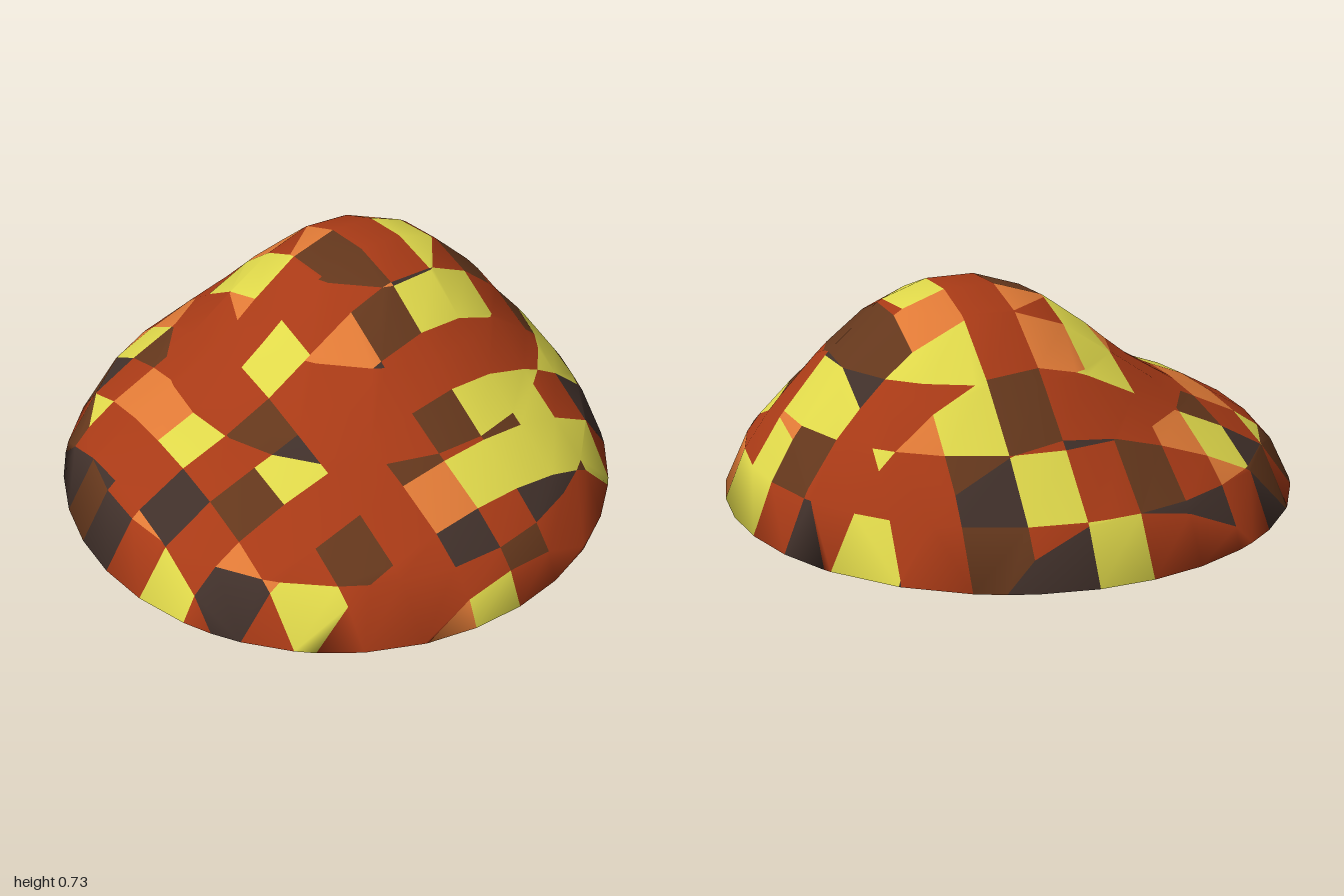
import * as THREE from 'three';

const CELL = 0.1685, N = 13, LAYERS = 5;
const X0 = -1.021, Z0 = -1.08;

const COLORS = { R: 0xa83a16, Y: 0xdfd84a, O: 0xe07a36, B: 0x64371c, K: 0x40302a };
const NAMES = { R: 'redLeaves', Y: 'yellowLeaves', O: 'orangeLeaves', B: 'brownLeaves', K: 'darkLeaves' };

// Leaf colour of each column of cells, back row first
const PATCHES = [
  '....RRYKKR..',
  '..KRRBRYKRK.',
  '..BYORRBYRY.',
  'KBRBRYORYRRK',
  'KRORRYOROBYR',
  'BRORRRBRYBYY',
  'KRYRYRBRYBRR',
  'RKRBROBYYRBO',
  'YRBYRRRRRRYK',
  'RKRRRRBYYRKK',
  'RRYBROYYYYRR',
  '..RRRKRRRRR.',
  '...ROYRRR...',
];

// Height of the pile: a broad rounded base with one off-centre heap; negative outside the rim
function height(x, z) {
  const r4 = (x * x + z * z) ** 2, u = 1 - r4;
  const base = 0.33 * Math.sign(u) * Math.abs(u) ** 0.7;
  const heap = 0.41 * Math.exp(-((Math.hypot(x - 0.24, z + 0.15) / 0.54) ** 2.6));
  return base + heap * THREE.MathUtils.clamp(u * 3, 0, 1);
}

const field = (p) => height(p.x, p.z) - p.y;

// Point where an edge meets the surface
function crossing(a, b) {
  if (a.x === b.x && a.z === b.z) return new THREE.Vector3(a.x, height(a.x, a.z), a.z);
  const lo = a.clone(), hi = b.clone(), inside = field(a) > 0;
  for (let i = 0; i < 24; i++) {
    const mid = lo.clone().lerp(hi, 0.5);
    if (field(mid) > 0 === inside) lo.copy(mid); else hi.copy(mid);
  }
  return lo;
}

// Repeatable leaf colour for cells without a mapped patch
function scatter(i, j, k) {
  const s = Math.sin(i * 12.99 + j * 78.23 + k * 37.72) * 43758.55;
  const t = s - Math.floor(s);
  return t < 0.46 ? 'R' : t < 0.63 ? 'Y' : t < 0.81 ? 'B' : t < 0.91 ? 'K' : 'O';
}

function leafColor(i, j, k) {
  const mid = height(X0 + (i + 0.5) * CELL, Z0 + (k + 0.5) * CELL);
  const code = PATCHES[k]?.[i];
  if (COLORS[code] && Math.max(0, Math.floor(mid / CELL)) === j) return code;
  return scatter(i, j, k);
}

export function createModel() {
  const positions = [], welded = new Map();
  const faces = { R: [], Y: [], O: [], B: [], K: [] }, underside = [];

  const vertex = (p) => {
    const key = [p.x, p.y, p.z].map((v) => Math.round(v * 1e4)).join();
    if (!welded.has(key)) {
      welded.set(key, positions.length / 3);
      positions.push(p.x, p.y, p.z);
    }
    return welded.get(key);
  };

  // Order the points around their middle and fan them into triangles
  const addPolygon = (points, list, up) => {
    if (points.length < 3) return;
    const c = points.reduce((s, p) => s.add(p), new THREE.Vector3()).divideScalar(points.length);
    const angle = (p) => Math.atan2(p.z - c.z, p.x - c.x);
    points.sort((a, b) => (up ? angle(b) - angle(a) : angle(a) - angle(b)));
    const ids = points.map(vertex);
    for (let n = 1; n < ids.length - 1; n++) {
      const tri = [ids[0], ids[n], ids[n + 1]];
      if (new Set(tri).size === 3) list.push(...tri);
    }
  };

  for (let i = 0; i < N; i++) for (let k = 0; k < N; k++) for (let j = 0; j < LAYERS; j++) {
    // Cell corners: bit 1 steps in x, bit 2 in z, bit 4 in y
    const corners = Array.from({ length: 8 }, (_, b) => new THREE.Vector3(
      X0 + (i + (b & 1)) * CELL, (j + (b >> 2)) * CELL, Z0 + (k + ((b >> 1) & 1)) * CELL));
    const inside = corners.map((p) => field(p) > 0);
    const surface = [], floor = [];
    for (let a = 0; a < 8; a++) {
      if (a < 4 && inside[a]) floor.push(corners[a]);
      for (const bit of [1, 2, 4]) {
        const b = a | bit;
        if (b === a || inside[a] === inside[b]) continue;
        const p = crossing(corners[a], corners[b]);
        surface.push(p);
        if (b < 4) floor.push(p);
      }
    }
    addPolygon(surface, faces[leafColor(i, j, k)], true);
    if (j === 0) addPolygon(floor, underside, false);
  }

  // Smooth normals over the whole closed mound
  const whole = new THREE.BufferGeometry();
  whole.setAttribute('position', new THREE.Float32BufferAttribute(positions, 3));
  whole.setIndex([...Object.values(faces).flat(), ...underside]);
  whole.computeVertexNormals();

  // One mesh per leaf colour, sharing the same vertices
  const group = new THREE.Group();
  group.name = 'leafPile';
  const addMesh = (name, index, color) => {
    const geometry = new THREE.BufferGeometry();
    geometry.setAttribute('position', whole.attributes.position);
    geometry.setAttribute('normal', whole.attributes.normal);
    geometry.setIndex(index);
    const mesh = new THREE.Mesh(geometry, new THREE.MeshStandardMaterial({ color }));
    mesh.name = name;
    group.add(mesh);
  };
  for (const code in faces) addMesh(NAMES[code], faces[code], COLORS[code]);
  addMesh('underside', underside, COLORS.B);
  return group;
}
